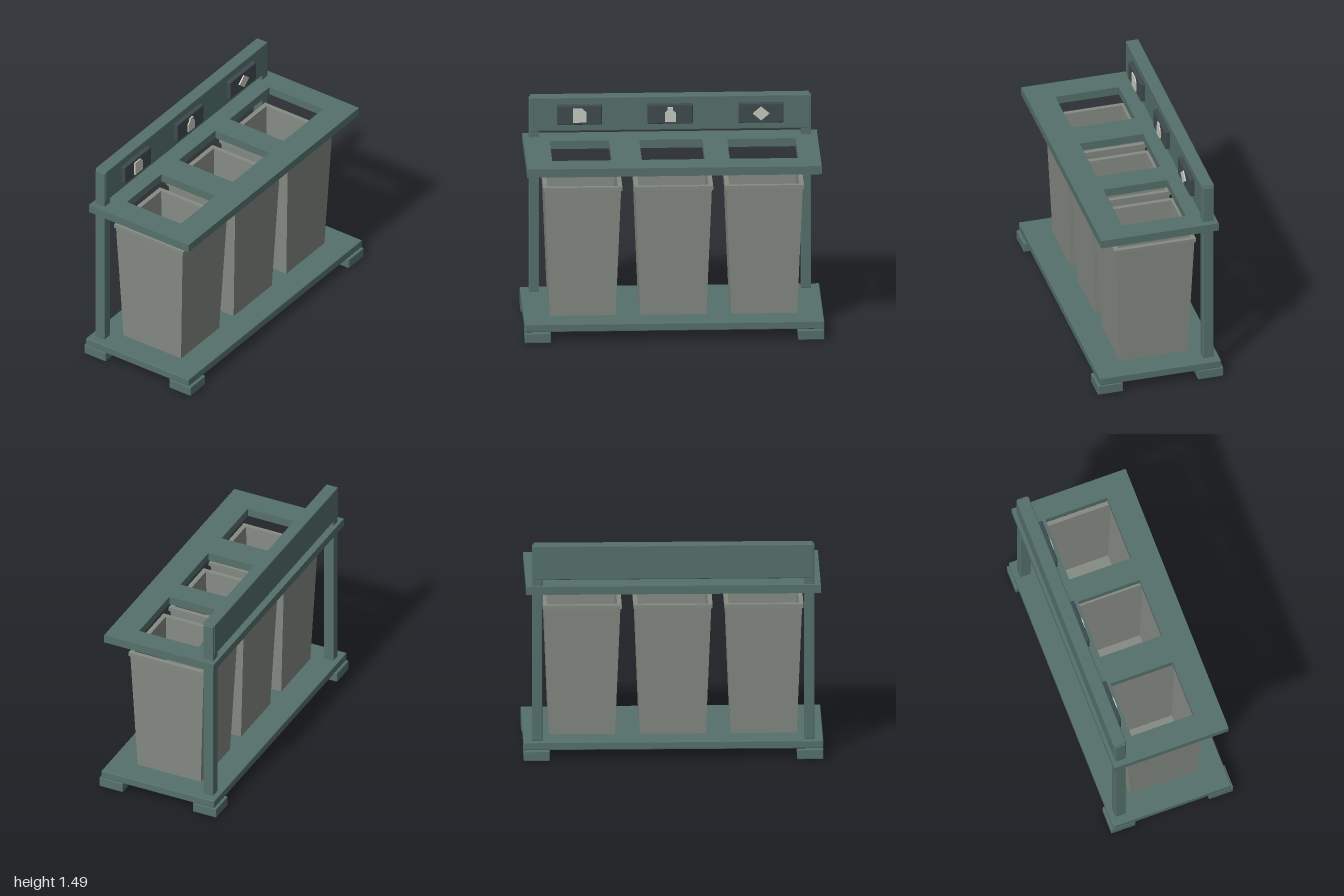
import * as THREE from 'three';
import { RoundedBoxGeometry } from 'three/addons/geometries/RoundedBoxGeometry.js';

const mat = (color) => new THREE.MeshStandardMaterial({ color, flatShading: true });

export function createModel() {
  const model = new THREE.Group();
  model.name = 'recyclingStation';
  const frameMat = mat(0x55706b);
  const binMat = mat(0x858a83);
  const plaqueMat = mat(0x3f4a4e);
  const iconMat = mat(0xc6c9be);

  const add = (name, geometry, material, x = 0, y = 0, z = 0) => {
    const mesh = new THREE.Mesh(geometry, material);
    mesh.name = name;
    mesh.position.set(x, y, z);
    model.add(mesh);
    return mesh;
  };

  // Softly bevelled box given by its min and max corners
  const box = (name, [x0, y0, z0], [x1, y1, z1], material = frameMat) =>
    add(name, new RoundedBoxGeometry(x1 - x0, y1 - y0, z1 - z0, 1, 0.006), material,
      (x0 + x1) / 2, (y0 + y1) / 2, (z0 + z1) / 2);

  const polygon = (points) => new THREE.Shape(points.map(([x, y]) => new THREE.Vector2(x, y)));

  // Base board, feet and rear posts
  box('baseBoard', [-1, 0.072, -0.42], [1, 0.128, 0.42]);
  for (const s of [-1, 1]) {
    const side = s > 0 ? 'left' : 'right';
    for (const f of [-1, 1]) {
      const foot = box(side + (f > 0 ? 'FrontFoot' : 'BackFoot'), [0.825, 0, 0.26], [1, 0.07, 0.435]);
      foot.position.x *= s;
      foot.position.z *= f;
    }
    box(side + 'Post', [s * 0.908 - 0.034, 0.125, -0.384], [s * 0.908 + 0.034, 1.475, -0.309]);
  }

  // Counter with three openings of growing width
  const counter = polygon([[-0.983, -0.407], [0.983, -0.407], [0.983, 0.407], [-0.983, 0.407]]);
  const openings = [[-0.61, 0.198], [0, 0.21], [0.605, 0.228]];
  for (const [cx, h] of openings) {
    counter.holes.push(polygon([[cx - h, -0.22], [cx - h, 0.22], [cx + h, 0.22], [cx + h, -0.22]]));
  }
  const counterGeo = new THREE.ExtrudeGeometry(counter, { depth: 0.057, bevelEnabled: false });
  counterGeo.rotateX(-Math.PI / 2);
  add('counter', counterGeo, frameMat, 0, 1.15, 0);

  // Sign board across the post tops
  box('signBoard', [-0.932, 1.248, -0.39], [0.932, 1.485, -0.303]);

  // Tapered square bins: four-sided lathe, profile in half widths
  const profile = [
    [0, 0.128], [0.22, 0.128], [0.255, 1.01], [0.264, 1.01],
    [0.264, 1.037], [0.234, 1.037], [0.203, 0.15], [0, 0.15],
  ].map(([r, y]) => new THREE.Vector2(r * Math.SQRT2, y));
  const binGeo = new THREE.LatheGeometry(profile, 4, Math.PI / 4);
  binGeo.scale(1, 1, 1.068);

  // Icons: sheet of paper, bottle, diamond
  const icons = [
    ['paperIcon', [[-0.045, -0.048], [0.045, -0.048], [0.045, 0.022], [0.02, 0.048], [-0.045, 0.048]]],
    ['bottleIcon', [[-0.037, -0.05], [0.037, -0.05], [0.037, 0.01], [0.018, 0.03], [0.018, 0.05],
      [-0.018, 0.05], [-0.018, 0.03], [-0.037, 0.01]]],
    ['diamondIcon', [[0, -0.048], [0.056, 0], [0, 0.048], [-0.056, 0]]],
  ];

  icons.forEach(([iconName, outline], i) => {
    const x = (i - 1) * 0.606;
    add('bin' + (i + 1), binGeo, binMat, x);
    box('plaque' + (i + 1), [x - 0.15, 1.3, -0.31], [x + 0.15, 1.434, -0.272], plaqueMat);
    const iconGeo = new THREE.ExtrudeGeometry(polygon(outline), { depth: 0.012, bevelEnabled: false });
    add(iconName, iconGeo, iconMat, x, 1.367, -0.275);
  });

  return model;
}
